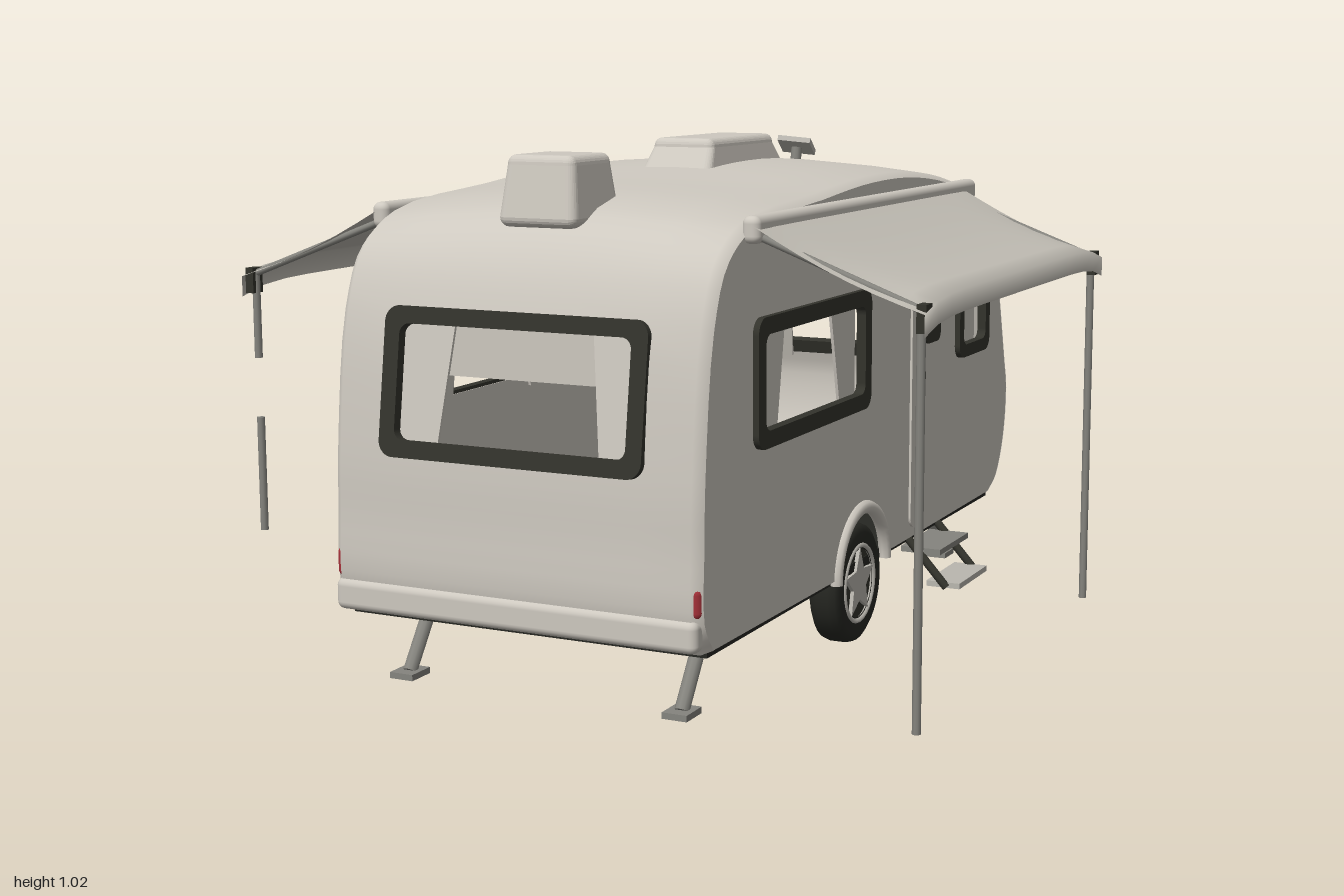
import * as THREE from 'three';
import { RoundedBoxGeometry } from 'three/addons/geometries/RoundedBoxGeometry.js';

const mat = (name, color, side = THREE.FrontSide) =>
  Object.assign(new THREE.MeshStandardMaterial({ color, side }), { name });
const V = (x, y, z) => new THREE.Vector3(x, y, z);

export function createModel() {
  const root = new THREE.Group();
  root.name = 'caravan';
  const shell = mat('shellCream', 0xcdc8bf, THREE.DoubleSide);
  const canvas = mat('awningCanvas', 0xc2beb5, THREE.DoubleSide);
  const dark = mat('darkTrim', 0x33332c, THREE.DoubleSide);
  const under = mat('undersideBlack', 0x262722);
  const metal = mat('metalGrey', 0x85847e);
  const pale = mat('paleMetal', 0xbab7af);
  const red = mat('lampRed', 0xa8323a);

  const add = (name, geo, m, x = 0, y = 0, z = 0, parent = root) => {
    const mesh = new THREE.Mesh(geo, m);
    mesh.name = name;
    mesh.position.set(x, y, z);
    parent.add(mesh);
    return mesh;
  };
  const box = (name, w, h, d, m, x, y, z, parent) =>
    add(name, new THREE.BoxGeometry(w, h, d), m, x, y, z, parent);
  const rod = (name, a, b, r, m, r2 = r) => {
    const d = b.clone().sub(a);
    const mesh = add(name, new THREE.CylinderGeometry(r2, r, d.length(), 10), m);
    mesh.position.copy(a).addScaledVector(d, 0.5);
    mesh.quaternion.setFromUnitVectors(V(0, 1, 0), d.normalize());
    return mesh;
  };
  const roundRect = (x0, y0, x1, y1, r, Kind = THREE.Shape) => {
    const s = new Kind();
    s.absarc(x1 - r, y0 + r, r, -Math.PI / 2, 0);
    s.absarc(x1 - r, y1 - r, r, 0, Math.PI / 2);
    s.absarc(x0 + r, y1 - r, r, Math.PI / 2, Math.PI);
    s.absarc(x0 + r, y0 + r, r, Math.PI, Math.PI * 1.5);
    s.closePath();
    return s;
  };
  const ring = (x0, y0, x1, y1, t) => {
    const s = roundRect(x0, y0, x1, y1, 0.03);
    s.holes.push(roundRect(x0 + t, y0 + t, x1 - t, y1 - t, 0.02, THREE.Path));
    return s;
  };
  const slab = (shape, depth) => new THREE.ExtrudeGeometry(shape, { depth, bevelEnabled: false, curveSegments: 10 })
    .translate(0, 0, -depth / 2);
  // shape drawn in (z, y), standing on a side wall
  const sideSlab = (shape, depth) => slab(shape, depth).rotateY(-Math.PI / 2);
  const poly = (...p) => new THREE.Shape(p.map(([x, y]) => new THREE.Vector2(x, y)));

  // Body outline (z, y), from the tail over the roof to the towing nose
  const outline = [[0.95, 0.165], [0.985, 0.22], [0.985, 0.36], [0.98, 0.485], [0.945, 0.735], [0.885, 0.86],
    [0.79, 0.925], [0.46, 0.96], [0.2, 0.978], [-0.05, 0.974], [-0.29, 0.942], [-0.43, 0.9], [-0.53, 0.825],
    [-0.585, 0.74], [-0.67, 0.47], [-0.688, 0.4], [-0.67, 0.28], [-0.62, 0.195], [-0.56, 0.165]];
  const K = 4;
  const prof = new THREE.CatmullRomCurve3(outline.map(([z, y]) => V(0, y, z))).getPoints((outline.length - 1) * K);
  const skin = (p, x) => {
    const f = Math.abs(x) > 0.375 ? 0.98 : 1;
    const crown = 0.025 * THREE.MathUtils.smoothstep(p.y, 0.8, 0.95) * (x / 0.38) ** 2;
    return V(x, 0.5 + (p.y - 0.5) * f - crown, 0.15 + (p.z - 0.15) * f);
  };

  // Wrapped skin with openings for the two end windows
  const xs = [-0.38, -0.362, -0.255, -0.12, 0, 0.12, 0.255, 0.362, 0.38];
  const pos = [], idx = [], n = xs.length;
  prof.forEach((p) => xs.forEach((x) => pos.push(...skin(p, x).toArray())));
  for (let i = 0; i < prof.length - 1; i++) for (let j = 0; j < n - 1; j++) {
    const seg = Math.floor(i / K);
    if ((seg === 3 || seg === 13) && j > 1 && j < 6) continue;
    const a = i * n + j;
    idx.push(a, a + 1, a + n, a + 1, a + n + 1, a + n);
  }
  const wrap = new THREE.BufferGeometry();
  wrap.setAttribute('position', new THREE.Float32BufferAttribute(pos, 3));
  wrap.setIndex(idx);
  wrap.computeVertexNormals();
  add('bodySkin', wrap, shell);

  // Side walls with wheel arch and window openings
  const wall = new THREE.Shape(prof.map((p) => skin(p, 0.38)).map((q) => new THREE.Vector2(q.z, q.y)));
  wall.absarc(0.245, 0.168, 0.125, Math.PI, 0, true);
  wall.closePath();
  wall.holes.push(roundRect(0.25, 0.52, 0.75, 0.71, 0.02, THREE.Path),
    roundRect(-0.485, 0.54, -0.32, 0.69, 0.02, THREE.Path));

  // End windows: frame with curtains hung behind it
  const endWindow = (name, lo, hi, out) => {
    const g = new THREE.Group();
    g.name = name;
    const dz = hi[0] - lo[0], dy = hi[1] - lo[1], h = Math.hypot(dz, dy) / 2 + 0.012;
    g.position.set(0, (lo[1] + hi[1]) / 2, (lo[0] + hi[0]) / 2 + out * 0.004);
    g.rotation.x = Math.atan2(dz, dy);
    add('windowFrame', slab(ring(-0.27, -h, 0.27, h, 0.032), 0.02), dark, 0, 0, 0, g);
    for (const s of [-1, 1])
      add('curtain', slab(poly([s * 0.25, -h], [s * 0.17, -h], [s * 0.14, h], [s * 0.25, h]), 0.006), shell, 0, 0, -out * 0.03, g);
    root.add(g);
  };
  endWindow('tailWindow', outline[3], outline[4], 1);
  endWindow('noseWindow', outline[14], outline[13], -1);
  box('ceilingLocker', 0.56, 0.1, 0.06, shell, 0, 0.66, 0.84);

  // Floor, axle and tail bumper
  box('floor', 0.74, 0.02, 1.5, under, 0, 0.168, 0.19);
  rod('axle', V(-0.33, 0.13, 0.245), V(0.33, 0.13, 0.245), 0.033, under);
  add('tailBumper', new RoundedBoxGeometry(0.75, 0.06, 0.04, 3, 0.015), shell, 0, 0.205, 0.975);

  // Tyre section and five-pointed wheel trim
  const tyre = new THREE.LatheGeometry([[0.07, -0.03], [0.105, -0.034], [0.119, -0.026], [0.123, -0.012],
    [0.123, 0.012], [0.119, 0.026], [0.105, 0.034], [0.07, 0.03]].map(([r, y]) => new THREE.Vector2(r, y)), 32)
    .rotateZ(Math.PI / 2);
  const star = poly(...Array.from({ length: 10 }, (_, i) => {
    const a = Math.PI / 2 + i * Math.PI / 5, r = i % 2 ? 0.034 : 0.074;
    return [Math.cos(a) * r, Math.sin(a) * r];
  }));

  for (const s of [1, -1]) {
    add('sideWall', sideSlab(wall, 0.01), shell, s * 0.374);
    add('sideWindowFrame', sideSlab(ring(0.23, 0.495, 0.77, 0.735, 0.032), 0.02), dark, s * 0.381);
    add('noseSideWindowFrame', sideSlab(ring(-0.505, 0.52, -0.3, 0.71, 0.028), 0.02), dark, s * 0.381);
    add('curtainTail', sideSlab(poly([0.76, 0.5], [0.62, 0.5], [0.58, 0.73], [0.76, 0.73]), 0.006), shell, s * 0.355);
    add('curtainNose', sideSlab(poly([0.315, 0.5], [0.24, 0.5], [0.24, 0.73], [0.37, 0.73]), 0.006), shell, s * 0.355);
    add('smallCurtain', sideSlab(poly([-0.4, 0.53], [-0.49, 0.53], [-0.49, 0.7], [-0.41, 0.7]), 0.006), shell, s * 0.355);

    // Door
    add('door', sideSlab(roundRect(-0.25, 0.19, -0.02, 0.87, 0.025), 0.006), shell, s * 0.381);
    add('doorWindow', sideSlab(roundRect(-0.18, 0.58, -0.09, 0.77, 0.02), 0.008), dark, s * 0.385);
    add('doorHandle', sideSlab(roundRect(-0.078, 0.475, -0.046, 0.53, 0.01), 0.014), dark, s * 0.386);

    // Wheel and arch lip
    add('archLip', new THREE.TorusGeometry(0.131, 0.014, 8, 24, Math.PI).rotateY(Math.PI / 2), shell, s * 0.378, 0.158, 0.245);
    add('tyre', tyre, under, s * 0.343, 0.132, 0.245);
    add('wheelDisc', new THREE.CylinderGeometry(0.078, 0.078, 0.05, 24).rotateZ(Math.PI / 2), dark, s * 0.343, 0.132, 0.245);
    add('wheelRim', new THREE.TorusGeometry(0.078, 0.006, 6, 28).rotateY(Math.PI / 2), pale, s * 0.372, 0.132, 0.245);
    add('wheelStar', sideSlab(star, 0.012), pale, s * 0.37, 0.132, 0.245);

    // Tail lamp
    add('tailLamp', new RoundedBoxGeometry(0.062, 0.06, 0.045, 2, 0.014), red, s * 0.347, 0.264, 0.963);

    // Entry steps
    box('upperTread', 0.09, 0.012, 0.18, metal, s * 0.4, 0.14, -0.13);
    box('lowerTread', 0.075, 0.012, 0.18, pale, s * 0.452, 0.07, -0.13);
    for (const z of [-0.04, -0.22])
      rod('stepRail', V(s * 0.37, 0.165, z), V(s * 0.46, 0.065, z), 0.009, dark);

    // Corner steadies
    for (const [z0, z1] of [[0.79, 0.88], [-0.38, -0.465]]) {
      rod('steadyLeg', V(s * 0.29, 0.165, z0), V(s * 0.29, 0.035, z1), 0.014, metal);
      box('steadyFoot', 0.05, 0.012, 0.06, metal, s * 0.29, 0.032, z1);
    }

    // Awning: sagging canvas with a hanging outer edge
    const sheet = new THREE.PlaneGeometry(1, 1, 8, 16);
    const p = sheet.attributes.position;
    for (let i = 0; i < p.count; i++) {
      const u = Math.min((p.getX(i) + 0.5) * 8 / 7, 1), v = p.getY(i);
      const hem = p.getX(i) > 0.49 ? 0.04 : 0;
      const corner = 0.025 * u * Math.abs(v * 2) ** 8;
      p.setXYZ(i, s * (0.39 + 0.325 * u), 0.905 - 0.128 * u - 0.012 * Math.sin(Math.PI * u) - hem - corner + 0.012 * u, 0.26 + v * 1.09);
    }
    if (s < 0) sheet.index.array.reverse();
    sheet.computeVertexNormals();
    add('awningCanvas', sheet, canvas);
    add('awningCase', new RoundedBoxGeometry(0.035, 0.05, 1.16, 3, 0.014), shell, s * 0.388, 0.895, 0.225);

    // Awning arms and poles
    for (const z of [0.78, -0.25]) {
      rod('awningArm', V(s * 0.39, 0.885, z), V(s * 0.71, 0.765, z), 0.007, metal);
      box('poleBracket', 0.018, 0.05, 0.03, dark, s * 0.705, 0.755, z);
      const spans = s > 0 ? [[0.02, 0.77]] : z > 0 ? [[0.25, 0.48], [0.6, 0.77]] : [[0.53, 0.77]];
      for (const [a, b] of spans) rod('awningPole', V(s * 0.7, a, z), V(s * 0.7, b, z), 0.008, metal);
    }

    // Drawbar side
    rod('drawbar', V(s * 0.1, 0.178, -0.58), V(s * 0.012, 0.178, -0.95), 0.016, pale);
  }

  // Roof fittings
  const taper = (name, w, h, d, x, y, z) => {
    const g = new RoundedBoxGeometry(w, h, d, 3, 0.018);
    const p = g.attributes.position;
    for (let i = 0; i < p.count; i++) if (p.getY(i) > 0) p.setXYZ(i, p.getX(i) * 0.88, p.getY(i), p.getZ(i) * 0.82);
    g.computeVertexNormals();
    add(name, g, shell, x, y, z);
  };
  taper('roofHatch', 0.155, 0.08, 0.37, 0, 0.988, 0.145);
  taper('roofVent', 0.16, 0.13, 0.18, 0, 0.955, 0.79);
  rod('aerialMast', V(0, 0.92, -0.27), V(0, 0.985, -0.28), 0.012, metal);
  const dish = box('aerialPlate', 0.075, 0.012, 0.07, pale, 0, 0.99, -0.28);
  dish.rotation.set(-0.45, 0.2, 0);

  // Hitch, hand brake and jockey wheel
  box('hitchHead', 0.035, 0.03, 0.11, pale, 0, 0.182, -0.945);
  rod('brakeLever', V(0, 0.19, -0.97), V(0, 0.245, -0.91), 0.008, metal);
  rod('brakeGrip', V(0, 0.24, -0.917), V(0, 0.262, -0.895), 0.011, red);
  rod('jockeyPost', V(0, 0.07, -0.83), V(0, 0.27, -0.83), 0.01, metal);
  rod('jockeyFork', V(0, 0.1, -0.83), V(0, 0.045, -0.8), 0.014, dark);
  add('jockeyWheel', new THREE.CylinderGeometry(0.042, 0.042, 0.028, 18).rotateZ(Math.PI / 2), under, 0, 0.045, -0.79);
  box('hitchBrace', 0.1, 0.015, 0.03, pale, 0, 0.178, -0.8);

  return root;
}
